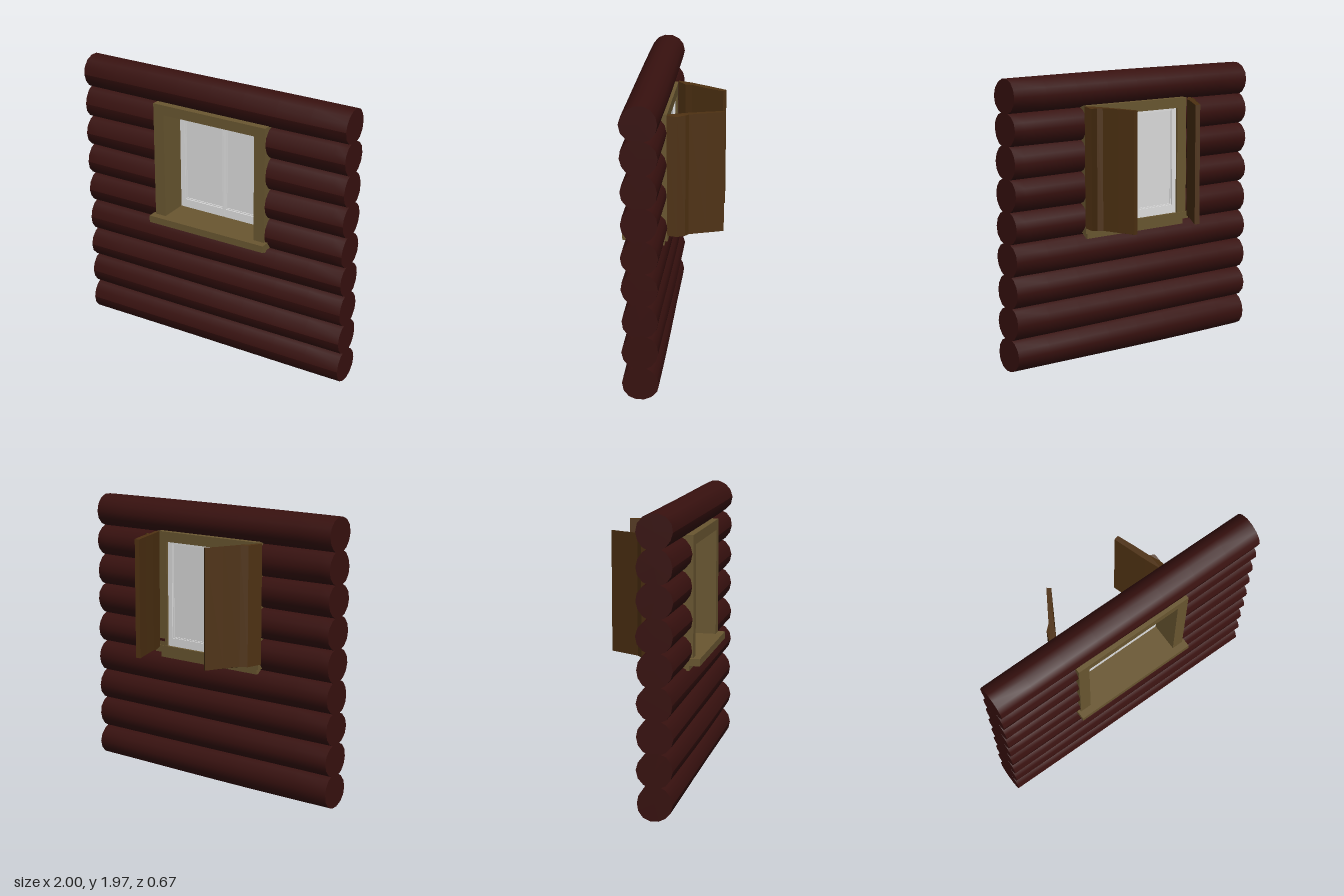
import * as THREE from 'three';

const mat = (name, color) => {
  const m = new THREE.MeshStandardMaterial({ color });
  m.name = name;
  return m;
};

export function createModel() {
  const model = new THREE.Group();
  const logRed = mat('log red', 0x38110f);
  const trim = mat('olive trim', 0x6a5731);
  const shutterWood = mat('shutter brown', 0x4e3112);
  const sashWhite = mat('sash white', 0xe2e2e2);
  const glass = mat('pale glass', 0xdedede);

  const add = (name, geo, material, parent = model) => {
    const mesh = new THREE.Mesh(geo, material);
    mesh.name = name;
    parent.add(mesh);
    return mesh;
  };
  const box = (name, x0, x1, y0, y1, z0, z1, material) => {
    const g = new THREE.BoxGeometry(x1 - x0, y1 - y0, z1 - z0);
    g.translate((x0 + x1) / 2, (y0 + y1) / 2, (z0 + z1) / 2);
    return add(name, g, material);
  };
  // Rectangular ring lying in the xy plane
  const ring = (name, outer, inner, z0, z1, material) => {
    const trace = (p, [x0, x1, y0, y1]) =>
      p.moveTo(x0, y0).lineTo(x1, y0).lineTo(x1, y1).lineTo(x0, y1).closePath();
    const shape = trace(new THREE.Shape(), outer);
    shape.holes.push(trace(new THREE.Path(), inner));
    const g = new THREE.ExtrudeGeometry(shape, { depth: z1 - z0, bevelEnabled: false });
    return add(name, g.translate(0, 0, z0), material);
  };

  // Log wall: slightly irregular logs, split where the window sits
  const wall = new THREE.Group();
  wall.name = 'logWall';
  model.add(wall);
  const log = (i, x0, x1) => {
    const g = new THREE.CylinderGeometry(0.121, 0.121, x1 - x0, 14, 8);
    g.rotateZ(-Math.PI / 2).translate((x0 + x1) / 2, 0, 0);
    const p = g.attributes.position;
    for (let k = 0; k < p.count; k++) {
      const x = p.getX(k), y = p.getY(k), z = p.getZ(k);
      const a = Math.atan2(y, z);
      const s = 1 + 0.018 * Math.sin(2 * a + i * 1.7 + x * 1.3)
        + 0.018 * Math.sin(3 * a + i * 2.9 - x * 2.1) - 0.02 * x * x;
      p.setXYZ(k, x, y * s, z * s);
    }
    g.computeVertexNormals();
    g.translate(0, 0.122 + i * 0.2162, 0.157);
    add('log', g, logRed, wall);
  };
  for (let i = 0; i < 9; i++) {
    if (i >= 4 && i <= 7) {
      log(i, -1, -0.37);
      log(i, 0.37, 1);
    } else log(i, -1, 1);
  }

  // Window surround, sill and apron
  ring('windowSurround', [-0.43, 0.43, 0.9, 1.76], [-0.35, 0.35, 0.945, 1.69], 0.035, 0.284, trim);
  box('sill', -0.45, 0.45, 0.897, 0.946, 0.03, 0.333, trim);
  box('apron', -0.42, 0.42, 0.855, 0.9, 0.055, 0.255, trim);

  // Pair of sashes with panes
  for (const s of [-1, 1]) {
    const span = (a, b) => (s > 0 ? [a, b] : [-b, -a]);
    ring('sash', [...span(0.002, 0.352), 0.94, 1.695], [...span(0.012, 0.315), 1.005, 1.68], 0.05, 0.085, sashWhite);
    ring('glazingBead', [...span(0.008, 0.32), 1.0, 1.684], [...span(0.02, 0.307), 1.013, 1.672], 0.058, 0.077, sashWhite);
  }
  box('glass', -0.35, 0.35, 0.95, 1.69, 0.064, 0.071, glass);

  // Open shutters: plan outlines (x, z) raised to height, with a rough top and bottom
  const shutter = (name, plan) => {
    const shape = new THREE.Shape(plan.map(([x, z]) => new THREE.Vector2(x, -z)));
    const g = new THREE.ExtrudeGeometry(shape, { depth: 0.822, bevelEnabled: false });
    g.rotateX(-Math.PI / 2).translate(0, 0.931, 0);
    const p = g.attributes.position;
    for (let k = 0; k < p.count; k++) {
      p.setY(k, p.getY(k) + 0.005 * Math.sin(p.getZ(k) * 50));
    }
    g.computeVertexNormals();
    const m = add(name, g, shutterWood);
    return m;
  };
  shutter('rightShutter', [
    [-0.47, 0.035], [-0.445, 0.035], [-0.395, -0.015], [-0.372, -0.065], [-0.31, -0.17],
    [-0.237, -0.29], [-0.262, -0.31], [-0.33, -0.2], [-0.392, -0.1], [-0.432, -0.065],
  ]);
  shutter('leftShutter', [
    [0.415, 0.035], [0.45, 0.035], [0.442, -0.03], [0.438, -0.085], [0.405, -0.105], [0.365, -0.22],
    [0.322, -0.333], [0.29, -0.325], [0.328, -0.21], [0.367, -0.09], [0.388, -0.035],
  ]);

  return model;
}
